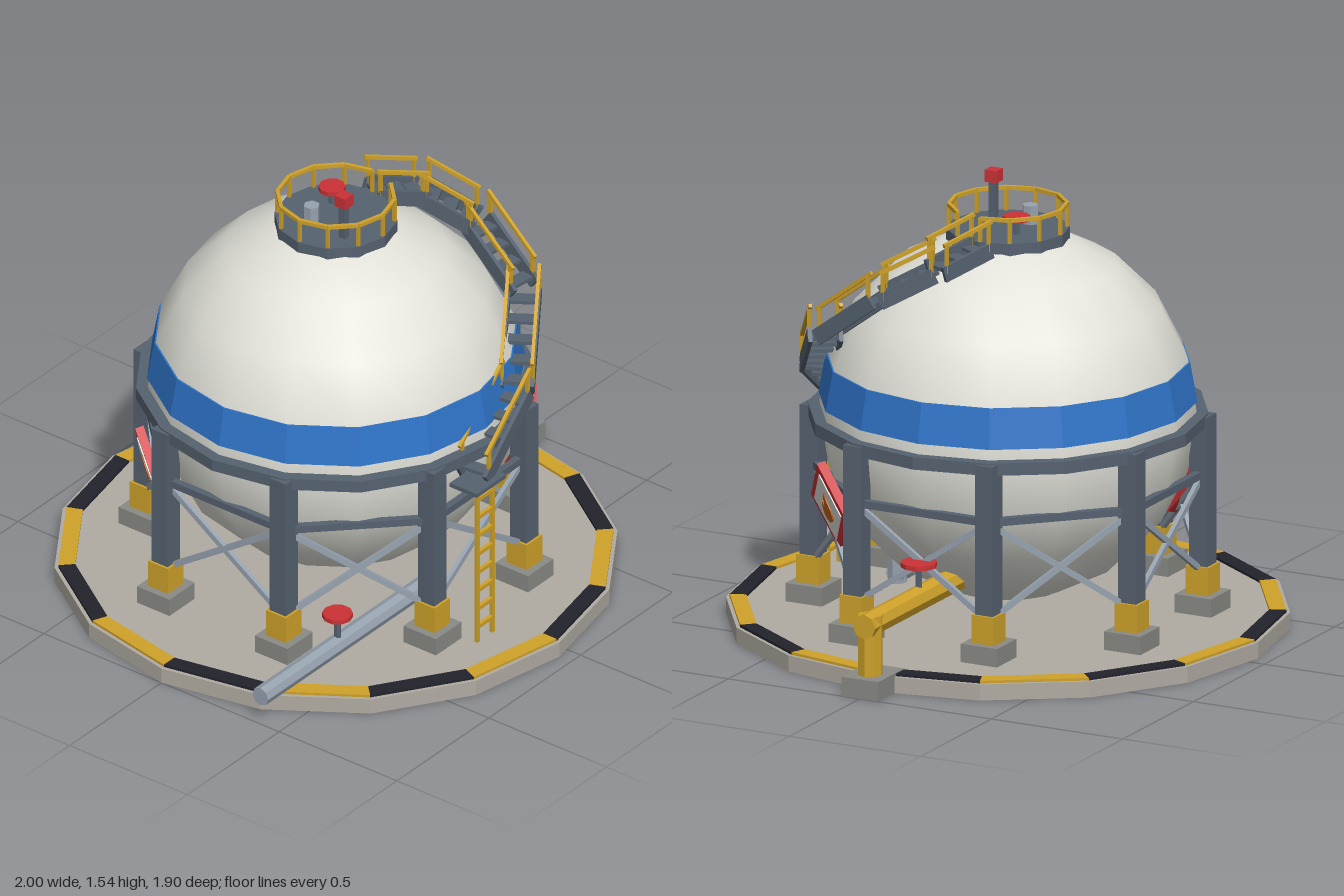
import * as THREE from 'three';

const CX = -0.05; // tank axis
const mat = (name, color) => Object.assign(new THREE.MeshStandardMaterial({ color }), { name });
const M = {
  white: mat('tank white', 0xe2e2da), blue: mat('band blue', 0x2f74c8), slate: mat('slate steel', 0x566270),
  yellow: mat('safety yellow', 0xcfa22a), black: mat('stripe black', 0x22222c), concrete: mat('slab concrete', 0xb0aba2),
  footing: mat('footing grey', 0x8a8a86), steel: mat('pale steel', 0x97a3b0), red: mat('signal red', 0xcc3236),
  orange: mat('flame orange', 0xc4661c),
};
const V = (x, y, z) => new THREE.Vector3(x, y, z);
// point around the tank axis: angle 0 is +x, turning towards +z
const around = (r, a, y) => V(CX + r * Math.cos(a), y, r * Math.sin(a));

function flat(geo) {
  const g = geo.index ? geo.toNonIndexed() : geo;
  g.computeVertexNormals();
  return g;
}

export function createModel() {
  const root = new THREE.Group();
  root.name = 'sphericalStorageTank';
  const group = (name, parent = root) => {
    const g = new THREE.Group();
    g.name = name;
    parent.add(g);
    return g;
  };
  const add = (parent, name, geo, material, pos = V(0, 0, 0)) => {
    const m = new THREE.Mesh(geo, material);
    m.name = name;
    m.position.copy(pos);
    parent.add(m);
    return m;
  };
  const box = (parent, name, w, h, d, material, pos) => add(parent, name, new THREE.BoxGeometry(w, h, d), material, pos);
  // box beam between two points
  const beam = (parent, name, a, b, w, h, material) => {
    const m = box(parent, name, w, h, a.distanceTo(b), material, a.clone().lerp(b, 0.5));
    m.lookAt(b);
    return m;
  };
  // faceted cylinder between two points
  const pipe = (parent, name, a, b, r, sides, material) => {
    const g = flat(new THREE.CylinderGeometry(r, r, a.distanceTo(b), sides));
    g.rotateX(Math.PI / 2);
    const m = add(parent, name, g, material, a.clone().lerp(b, 0.5));
    m.lookAt(b);
    return m;
  };
  const disc = (parent, name, r, y0, y1, sides, material, x = CX, z = 0) =>
    add(parent, name, flat(new THREE.CylinderGeometry(r, r, y1 - y0, sides)), material, V(x, (y0 + y1) / 2, z));

  // base slab with hazard border
  const base = group('base');
  disc(base, 'slab', 0.95, 0, 0.056, 16, M.concrete);
  for (let i = 0; i < 16; i++) {
    const a = i * Math.PI / 8, b = a + Math.PI / 8;
    const pts = [[0.88, a], [0.937, a], [0.937, b], [0.88, b]]
      .map(([r, t]) => new THREE.Vector2(r * Math.cos(t), r * Math.sin(t)));
    const g = new THREE.ExtrudeGeometry(new THREE.Shape(pts), { depth: 0.009, bevelEnabled: false });
    g.rotateX(-Math.PI / 2);
    add(base, 'borderStripe', g, i % 2 ? M.yellow : M.black, V(CX, 0.056, 0));
  }

  // vessel, band and girdle ring
  add(root, 'vessel', new THREE.SphereGeometry(0.637, 16, 10), M.white, V(CX, 0.735, 0));
  const ring = (name, points, material) =>
    add(root, name, flat(new THREE.LatheGeometry(points.map(p => new THREE.Vector2(...p)), 16)), material, V(CX, 0, 0));
  ring('paintedBand', [[0.59, 0.783], [0.638, 0.783], [0.613, 0.92], [0.59, 0.92]], M.blue);
  ring('girdleRing', [[0.61, 0.703], [0.675, 0.703], [0.675, 0.746], [0.61, 0.746], [0.61, 0.703]], M.slate);

  // columns, footings and bracing
  const legs = group('supportFrame');
  for (let i = 0; i < 8; i++) {
    const a = Math.PI / 8 + i * Math.PI / 4, b = a + Math.PI / 4;
    const at = y => around(0.655, a, y), to = y => around(0.655, b, y);
    box(legs, 'column', 0.068, 0.62, 0.068, M.slate, at(0.43));
    box(legs, 'columnSleeve', 0.085, 0.1, 0.085, M.yellow, at(0.168));
    box(legs, 'footing', 0.138, 0.066, 0.138, M.footing, at(0.087));
    beam(legs, 'horizontalBrace', at(0.535), to(0.535), 0.025, 0.026, M.slate);
    beam(legs, 'diagonalBrace', at(0.53), to(0.19), 0.016, 0.02, M.steel);
    beam(legs, 'diagonalBrace', at(0.19), to(0.53), 0.016, 0.02, M.steel);
  }

  // top platform, railing and fittings
  const top = group('topPlatform');
  disc(top, 'platformDeck', 0.208, 1.325, 1.375, 12, M.slate);
  for (let i = 0; i < 12; i++) {
    const a = i * Math.PI / 6, b = a + Math.PI / 6;
    beam(top, 'railPost', around(0.198, a, 1.37), around(0.198, a, 1.457), 0.011, 0.011, M.yellow);
    if (i) beam(top, 'topRail', around(0.198, a, 1.455), around(0.198, b, 1.455), 0.013, 0.013, M.yellow);
  }
  const wheel = (parent, x, z, y0, y, r) => {
    disc(parent, 'valveStem', 0.013, y0, y, 6, M.slate, x, z);
    disc(parent, 'valveWheel', r, y - 0.008, y + 0.008, 10, M.red, x, z);
  };
  wheel(top, 0.012, -0.065, 1.37, 1.432, 0.046);
  disc(top, 'vent', 0.028, 1.37, 1.44, 6, M.steel, -0.125, -0.045);
  box(top, 'beaconPost', 0.025, 0.14, 0.025, M.slate, V(-0.135, 1.435, 0.1));
  box(top, 'beacon', 0.045, 0.042, 0.045, M.red, V(-0.135, 1.52, 0.1));

  // stair flights winding up the vessel
  const stair = group('stair');
  const path = [V(-0.17, 0.665, 0.675), V(0.12, 0.85, 0.635), V(0.385, 1.05, 0.46),
    V(0.415, 1.215, 0.235), V(0.335, 1.31, 0.07), V(0.165, 1.365, -0.02)];
  for (let i = 0; i < path.length - 1; i++) {
    const a = path[i], b = path[i + 1];
    const dir = b.clone().sub(a).setY(0).normalize();
    const side = V(-dir.z, 0, dir.x);
    for (const s of [-0.052, 0.052]) {
      const p = a.clone().addScaledVector(side, s), q = b.clone().addScaledVector(side, s);
      beam(stair, 'stringer', p, q, 0.014, 0.055, M.slate);
      const up = V(0, 0.1, 0);
      beam(stair, 'handrail', p.clone().add(up), q.clone().add(up), 0.012, 0.013, M.yellow);
      for (const t of [0.06, 0.94]) {
        const foot = p.clone().lerp(q, t);
        beam(stair, 'handrailPost', foot, foot.clone().add(up), 0.012, 0.012, M.yellow);
      }
    }
    const n = Math.max(3, Math.round(a.distanceTo(b) / 0.07));
    for (let k = 0; k < n; k++) {
      const tread = box(stair, 'tread', 0.1, 0.012, 0.05, M.slate, a.clone().lerp(b, (k + 0.5) / n));
      tread.rotation.y = Math.atan2(dir.x, dir.z);
    }
  }
  box(stair, 'lowerLanding', 0.16, 0.015, 0.115, M.slate, V(-0.168, 0.657, 0.695));

  // access ladder
  const ladder = group('ladder');
  for (const x of [-0.22, -0.138]) box(ladder, 'ladderRail', 0.014, 0.6, 0.012, M.yellow, V(x, 0.36, 0.733));
  for (let k = 0; k < 8; k++) box(ladder, 'rung', 0.08, 0.014, 0.014, M.yellow, V(-0.179, 0.12 + k * 0.072, 0.733));

  // inlet pipe on the right side
  const inlet = group('inletPipe');
  pipe(inlet, 'inletRun', V(-1, 0.108, 0.42), V(-0.03, 0.108, 0.42), 0.034, 8, M.steel);
  pipe(inlet, 'inletRiser', V(CX, 0.078, 0.42), V(CX, 0.29, 0.42), 0.034, 8, M.steel);
  wheel(inlet, -0.58, 0.42, 0.13, 0.224, 0.052);

  // outlet pipe on the left side
  const outlet = group('outletPipe');
  pipe(outlet, 'outletRun', V(0.22, 0.243, 0), V(0.97, 0.243, 0), 0.043, 8, M.yellow);
  pipe(outlet, 'outletDrop', V(0.925, 0.06, 0), V(0.925, 0.275, 0), 0.043, 8, M.yellow);
  box(outlet, 'outletFooting', 0.185, 0.068, 0.14, M.footing, V(0.9075, 0.034, 0));
  wheel(outlet, 0.582, 0, 0.26, 0.362, 0.062);

  // diamond warning signs
  const flame = new THREE.Shape();
  flame.moveTo(0, -0.055);
  flame.bezierCurveTo(-0.05, -0.05, -0.045, -0.005, -0.028, 0.02);
  flame.lineTo(-0.016, 0.0);
  flame.quadraticCurveTo(-0.012, 0.035, 0.008, 0.058);
  flame.quadraticCurveTo(0.008, 0.03, 0.025, 0.015);
  flame.bezierCurveTo(0.045, -0.01, 0.045, -0.05, 0, -0.055);
  const tilt = 0.26;
  for (const s of [1, -1]) {
    const sign = group('warningSign');
    sign.position.set(CX + s * 0.48, 0.47, s * 0.41);
    sign.rotation.order = 'YXZ';
    sign.rotation.set(tilt, Math.atan2(s * 0.48, s * 0.41), 0);
    box(sign, 'signFrame', 0.226, 0.226, 0.03, M.red, V(0, 0, 0)).rotation.z = Math.PI / 4;
    box(sign, 'signPanel', 0.172, 0.172, 0.006, M.white, V(0, 0, 0.016)).rotation.z = Math.PI / 4;
    add(sign, 'flameSymbol', new THREE.ExtrudeGeometry(flame, { depth: 0.004, bevelEnabled: false, curveSegments: 5 }),
      M.orange, V(0, 0, 0.019));
  }
  return root;
}
